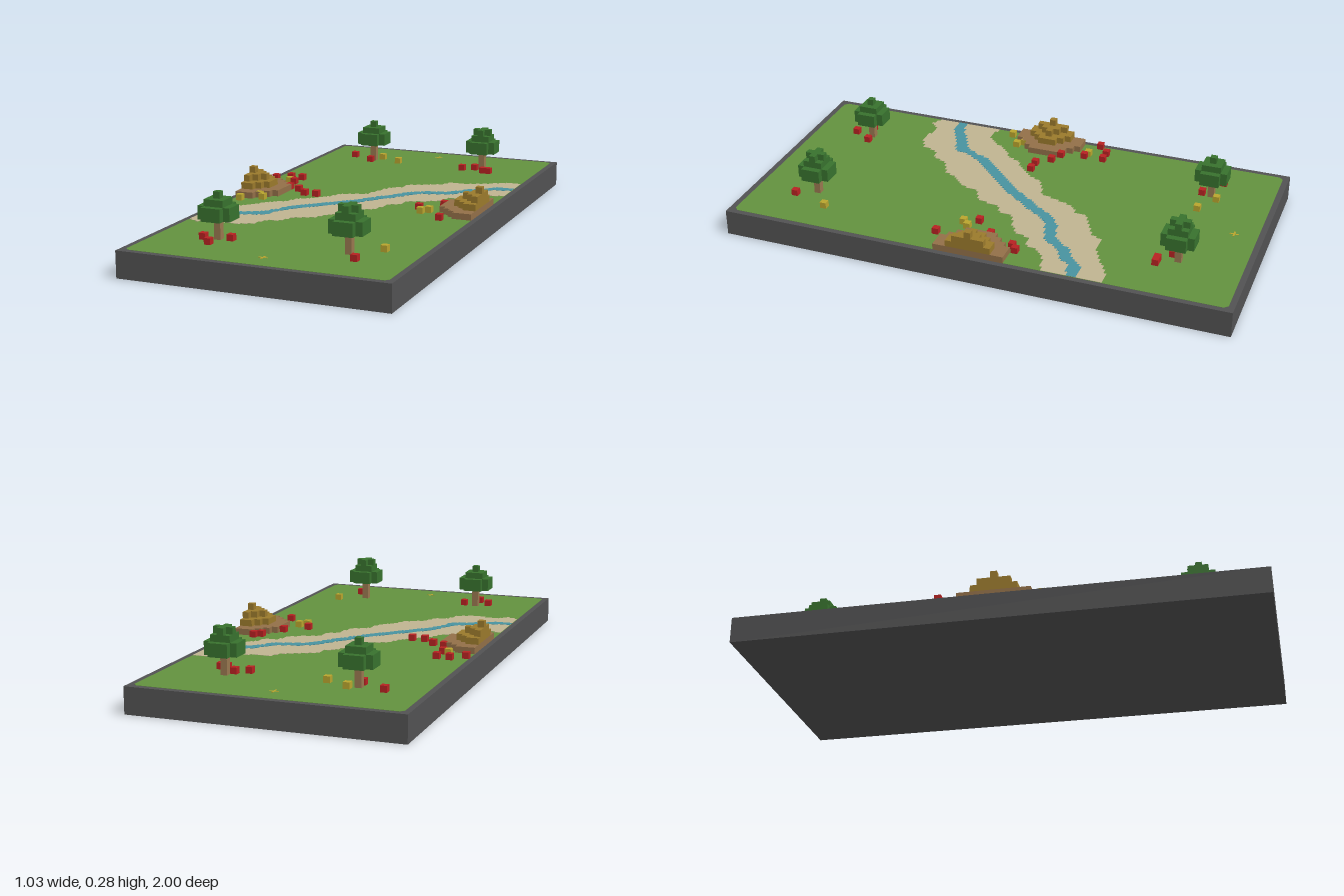
import * as THREE from 'three';
import { mergeGeometries } from 'three/addons/utils/BufferGeometryUtils.js';

const V = 0.0253;       // voxel edge
const TOP = 0.101;      // ground height
const CELL = 0.0123;    // painted ground cell
const mat = (name, color) => Object.assign(new THREE.MeshStandardMaterial({ color }), { name });
const M = {
  slate: mat('slate', 0x525253),
  grass: mat('grass', 0x63923f),
  sand: mat('sand', 0xc0b491),
  water: mat('water', 0x4893a0),
  leaf: mat('leaf', 0x38722e),
  bark: mat('bark', 0x9a7850),
  red: mat('red', 0xb82222),
  yellow: mat('yellow', 0xb9a52e),
  ochre: mat('ochre', 0x9b7a2c),
  earth: mat('earth', 0x937048),
};

function box(w, h, d, x, y, z) {
  return new THREE.BoxGeometry(w, h, d).translate(x, y, z);
}

// One voxel whose layer is counted up from the ground
const voxel = (x, layer, z) => box(V, V, V, x, TOP + (layer + 0.5) * V, z);

function merged(name, geometries, material) {
  const mesh = new THREE.Mesh(mergeGeometries(geometries), material);
  mesh.name = name;
  return mesh;
}

// Linear lookup in a list of [x, z] points
function lookup(points, x) {
  let i = 1;
  while (i < points.length - 1 && points[i][0] < x) i++;
  const [x0, z0] = points[i - 1], [x1, z1] = points[i];
  return z0 + (z1 - z0) * THREE.MathUtils.clamp((x - x0) / (x1 - x0), 0, 1);
}

// Pixelated painted band, one thin strip per ground column
function band(name, back, front, y, material) {
  const strips = [];
  for (let i = 0; i < 80; i++) {
    const x = (i - 39.5) * CELL;
    const z0 = Math.round(back(x) / CELL) * CELL;
    const z1 = Math.round(front(x) / CELL) * CELL;
    strips.push(box(CELL, 0.001, z1 - z0, x, y, (z0 + z1) / 2));
  }
  return merged(name, strips, material);
}

// Tree: trunk, two broad leaf layers and a stepped crown
function tree(x, z, bushy) {
  const g = new THREE.Group();
  g.name = 'tree';
  const leaves = [];
  for (let i = -2; i <= 2; i++) for (let j = -2; j <= 2; j++) {
    const a = Math.abs(i), b = Math.abs(j);
    const add = (layer) => leaves.push(voxel(x + i * V, layer, z + j * V));
    if (a + b < 4) { add(3); add(4); }
    if (a < 2 && b < 2) add(5);
    if (bushy ? a + b < 2 : a + b === 0) add(6);
  }
  g.add(merged('foliage', leaves, M.leaf));
  g.add(merged('trunk', [0, 1, 2].map((k) => voxel(x, k, z)), M.bark));
  return g;
}

// Half mound of stepped voxel rings against one long edge
function mound(side) {
  const g = new THREE.Group();
  g.name = 'mound';
  const skirt = [], peak = [];
  [5.4, 3.5, 2.1, 0.5].forEach((radius, layer) => {
    for (let i = 0; i < 6; i++) for (let j = -5; j <= 5; j++) {
      if (Math.hypot(i, j) > radius) continue;
      (layer ? peak : skirt).push(voxel(side * (0.481 - i * V), layer, j * V));
    }
  });
  g.add(merged('moundSkirt', skirt, M.earth), merged('moundPeak', peak, M.ochre));
  return g;
}

export function createModel() {
  const model = new THREE.Group();
  model.name = 'riverDiorama';

  // Base slab
  model.add(merged('base', [box(1.03, TOP, 2, 0, TOP / 2, 0)], M.slate));

  // Lawn with clipped corners
  const w = 0.493, d = 0.977, c = 0.015;
  const outline = [[w - c, -d], [w, -d + c], [w, d - c], [w - c, d], [c - w, d], [-w, d - c], [-w, c - d], [c - w, -d]];
  const lawn = new THREE.ExtrudeGeometry(new THREE.Shape(outline.map(([x, y]) => new THREE.Vector2(x, y))),
    { depth: 0.001, bevelEnabled: false });
  lawn.rotateX(-Math.PI / 2).translate(0, TOP, 0);
  model.add(merged('lawn', [lawn], M.grass));

  // Sandy banks
  const bankBack = [[-0.49, 0.25], [-0.41, 0.26], [-0.38, 0.23], [-0.34, 0.17], [-0.27, 0.115], [-0.25, 0.07],
    [-0.2, 0.04], [-0.15, -0.02], [-0.125, -0.07], [-0.03, -0.11], [0, -0.21], [0.02, -0.25], [0.06, -0.28],
    [0.07, -0.325], [0.19, -0.385], [0.22, -0.435], [0.275, -0.425], [0.33, -0.455], [0.42, -0.505], [0.455, -0.52], [0.49, -0.52]];
  const bankFront = [[-0.49, 0.52], [-0.45, 0.54], [-0.41, 0.505], [-0.36, 0.51], [-0.31, 0.52], [-0.24, 0.49],
    [-0.22, 0.43], [-0.16, 0.41], [-0.145, 0.355], [-0.06, 0.315], [-0.045, 0.27], [0.015, 0.21], [0.03, 0.145],
    [0.1, 0.11], [0.11, 0.03], [0.155, 0], [0.17, -0.06], [0.23, -0.075], [0.28, -0.115], [0.295, -0.17],
    [0.345, -0.175], [0.37, -0.235], [0.42, -0.27], [0.49, -0.28]];
  model.add(band('sandBank', (x) => lookup(bankBack, x), (x) => lookup(bankFront, x), TOP + 0.0016, M.sand));

  // Winding stream
  const stream = [[-0.49, 0.415], [-0.42, 0.405], [-0.38, 0.38], [-0.285, 0.335], [-0.25, 0.295], [-0.235, 0.24],
    [-0.16, 0.165], [-0.125, 0.12], [-0.02, 0.02], [0.03, -0.045], [0.085, -0.115], [0.125, -0.175], [0.17, -0.215],
    [0.245, -0.235], [0.295, -0.265], [0.315, -0.31], [0.375, -0.34], [0.425, -0.39], [0.49, -0.4]];
  const mid = (x) => lookup(stream, x);
  const half = (x) => 0.021 * Math.hypot(1, (mid(x + 0.03) - mid(x - 0.03)) / 0.06);
  model.add(band('stream', (x) => mid(x) - half(x), (x) => mid(x) + half(x), TOP + 0.0026, M.water));

  // Trees in the four corners, mounds on both sides
  for (const side of [-1, 1]) {
    for (const z of [-0.737, 0.73]) model.add(tree(side * 0.253, z, side > 0));
    model.add(mound(side));
  }

  // Scattered flowers
  const reds = [[-0.354, -0.765], [-0.254, -0.7], [0.18, -0.685], [0.228, -0.71], [0.28, -0.664], [0.304, -0.664],
    [-0.43, -0.25], [-0.38, -0.25], [-0.481, -0.21], [-0.38, -0.17], [-0.355, -0.077], [-0.304, -0.053],
    [-0.254, 0], [-0.203, 0], [0.405, -0.155], [0.38, -0.135], [0.329, -0.03], [0.253, 0.045], [0.38, 0.172],
    [-0.254, 0.805], [-0.203, 0.73], [-0.304, 0.75], [0.304, 0.805]];
  const yellows = [[-0.127, -0.712], [-0.22, -0.765], [-0.405, -0.18], [-0.456, 0.172], [-0.405, 0.1],
    [-0.38, 0.126], [0.304, 0.075], [0.279, 0.1], [0.354, 0.655]];
  const flower = ([x, z]) => voxel(x, 0, z);
  model.add(merged('redFlowers', reds.map(flower), M.red));
  model.add(merged('yellowFlowers', yellows.map(flower), M.yellow));

  // Small ground crosses near each end
  const crosses = [-0.887, 0.887].flatMap((z) =>
    [box(0.034, 0.001, 0.007, 0, TOP + 0.0014, z), box(0.007, 0.001, 0.034, 0, TOP + 0.0016, z)]);
  model.add(merged('groundCrosses', crosses, M.yellow));

  return model;
}
